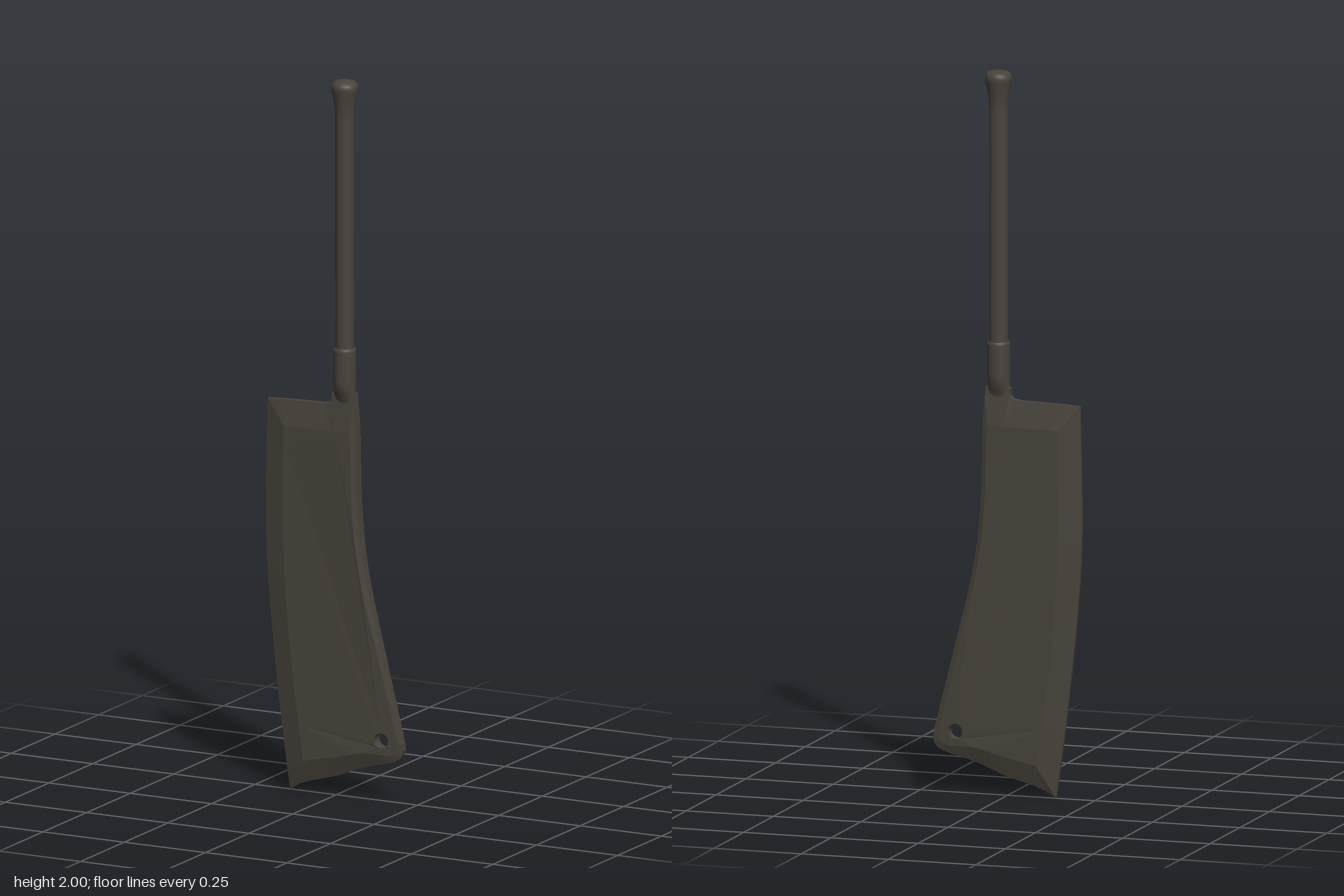
import * as THREE from 'three';

const steel = new THREE.MeshStandardMaterial({ color: 0x48433b });
steel.name = 'dark steel';

const AXIS = 0.026; // x of the handle axis

// Half thickness of the flat: constant, thinning towards the lower spine corner
const halfThick = (x) => 0.022 - Math.max(0, x - 0.07) * 0.09;

// Blade sides, counter-clockwise: outer outline, inner (flat) outline, rim half thickness
const sides = [
  { n: 16, rim: () => 0.005, // cutting edge
    outer: [[-0.208, 1.087], [-0.214, 0.76], [-0.204, 0.55], [-0.177, 0.283], [-0.14, 0.002]],
    inner: [[-0.15, 1.02], [-0.153, 0.76], [-0.144, 0.55], [-0.122, 0.32], [-0.09, 0.09]] },
  { n: 10, rim: (t) => 0.004 + 0.004 * t, // tip
    outer: [[-0.14, 0.002], [-0.098, 0.027], [0.008, 0.058], [0.087, 0.09], [0.172, 0.112]],
    inner: [[-0.09, 0.09], [-0.06, 0.098], [0.02, 0.115], [0.09, 0.132], [0.165, 0.131]] },
  { n: 6, rim: () => 0.007, // rounded corner
    outer: [[0.172, 0.112], [0.199, 0.125], [0.211, 0.15], [0.207, 0.18]],
    inner: [[0.165, 0.131], [0.184, 0.138], [0.194, 0.155], [0.192, 0.18]] },
  { n: 16, rim: (t, x) => halfThick(x) - 0.004 - 0.004 * t, // spine
    outer: [[0.207, 0.18], [0.146, 0.415], [0.094, 0.627], [0.072, 0.81], [0.067, 1.02], [0.058, 1.13]],
    inner: [[0.192, 0.18], [0.133, 0.415], [0.081, 0.627], [0.059, 0.81], [0.054, 0.97], [0.05, 1.02]] },
  { n: 12, rim: (t) => 0.012 - 0.004 * t, // shoulder, with the fillet under the neck
    outer: [[0.058, 1.13], [-0.004, 1.13], [-0.009, 1.107], [-0.026, 1.094], [-0.1, 1.091], [-0.208, 1.087]],
    inner: [[0.05, 1.02], [0.02, 1.02], [0.0, 1.02], [-0.03, 1.02], [-0.08, 1.02], [-0.15, 1.02]] },
];

const spline = (pts) => new THREE.SplineCurve(pts.map(([x, y]) => new THREE.Vector2(x, y)));

function bladeGeometry() {
  const outer = [], inner = [], rim = [], hole = [];
  for (const s of sides) {
    const a = spline(s.outer), b = spline(s.inner);
    for (let i = 0; i < s.n; i++) {
      const t = i / s.n, p = a.getPoint(t);
      outer.push(p);
      inner.push(b.getPoint(t));
      rim.push(s.rim(t, p.x));
    }
  }
  // Hanging hole, clockwise
  for (let i = 0; i < 24; i++) {
    const a = -i / 24 * Math.PI * 2;
    hole.push(new THREE.Vector2(0.145 + 0.021 * Math.cos(a), 0.172 + 0.021 * Math.sin(a)));
  }

  const pos = [];
  const tri = (...v) => v.forEach((p) => pos.push(...p));
  const quad = (a, b, c, d) => { tri(a, b, c); tri(a, c, d); };
  const at = (p, z) => [p.x, p.y, z];
  const flip = ([x, y, z]) => [x, y, -z];
  const wall = (p, q, zp, zq) => quad(at(p, -zp), at(q, -zq), at(q, zq), at(p, zp));

  // Flats
  const all = [...inner, ...hole];
  for (const f of THREE.ShapeUtils.triangulateShape(inner, [hole])) {
    const [a, b, c] = f.map((i) => at(all[i], halfThick(all[i].x)));
    tri(a, b, c);
    tri(flip(c), flip(b), flip(a));
  }
  // Bevels and rim
  outer.forEach((p, i) => {
    const j = (i + 1) % outer.length;
    const q = [at(p, rim[i]), at(outer[j], rim[j]),
      at(inner[j], halfThick(inner[j].x)), at(inner[i], halfThick(inner[i].x))];
    quad(...q);
    quad(...q.map(flip).reverse());
    wall(p, outer[j], rim[i], rim[j]);
  });
  // Hole wall
  hole.forEach((p, i) => {
    const q = hole[(i + 1) % hole.length];
    wall(p, q, halfThick(p.x), halfThick(q.x));
  });

  const g = new THREE.BufferGeometry();
  g.setAttribute('position', new THREE.Float32BufferAttribute(pos, 3));
  g.computeVertexNormals();
  return g;
}

const lathe = (pts) => new THREE.LatheGeometry(pts.map(([r, y]) => new THREE.Vector2(r, y)), 28);

export function createModel() {
  const model = new THREE.Group();
  const add = (name, geometry, x = 0) => {
    const mesh = new THREE.Mesh(geometry, steel);
    mesh.name = name;
    mesh.position.x = x;
    model.add(mesh);
  };

  add('blade', bladeGeometry());

  // Neck: round at the socket, pinched flat where it meets the blade
  const neck = lathe([[0, 1.08], [0.031, 1.085], [0.031, 1.1], [0.031, 1.115], [0.031, 1.13], [0.031, 1.145], [0.031, 1.16]]);
  const p = neck.attributes.position;
  for (let i = 0; i < p.count; i++) {
    const k = THREE.MathUtils.smoothstep(p.getY(i), 1.085, 1.155);
    p.setZ(i, p.getZ(i) * (0.36 + 0.64 * k));
  }
  neck.computeVertexNormals();
  add('neck', neck, AXIS);

  add('socket', lathe([[0.031, 1.16], [0.031, 1.246]]), AXIS);
  add('socketRim', lathe([[0.031, 1.246], [0.029, 1.253], [0.025, 1.253]]), AXIS);
  add('handle', lathe([[0.026, 1.25], [0.026, 1.6], [0.026, 1.9]]), AXIS);
  add('pommel', lathe([[0.026, 1.9], [0.027, 1.92], [0.031, 1.945], [0.036, 1.968], [0.0375, 1.979],
    [0.036, 1.988], [0.029, 1.995], [0.016, 1.999], [0, 2]]), AXIS);

  return model;
}
